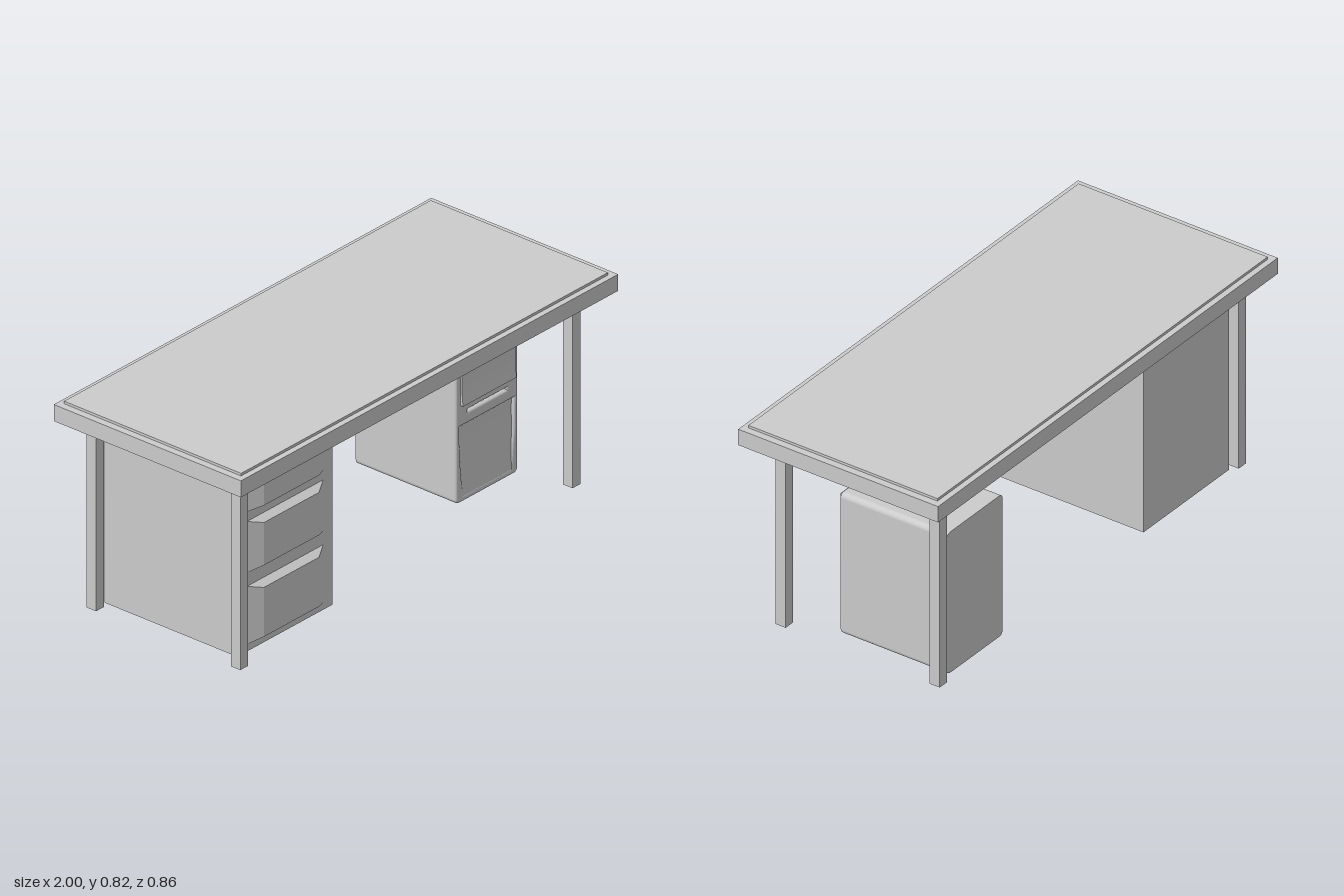
import * as THREE from 'three';

const material = new THREE.MeshStandardMaterial({ color: 0xcccccc });
const doubleSided = new THREE.MeshStandardMaterial({ color: 0xcccccc, side: THREE.DoubleSide });

function add(parent, name, geometry, mat = material) {
  const mesh = new THREE.Mesh(geometry, mat);
  mesh.name = name;
  parent.add(mesh);
  return mesh;
}

// Box given by its limits on each axis
function box(x0, x1, y0, y1, z0, z1) {
  return new THREE.BoxGeometry(x1 - x0, y1 - y0, z1 - z0)
    .translate((x0 + x1) / 2, (y0 + y1) / 2, (z0 + z1) / 2);
}

// Raised drawer front: a box whose front face is drawn in on all sides
function drawerFront(x0, x1, y0, y1, z0, z1, insetX, insetY) {
  const g = box(x0, x1, y0, y1, z0, z1);
  const p = g.attributes.position;
  const cx = (x0 + x1) / 2, cy = (y0 + y1) / 2, cz = (z0 + z1) / 2;
  for (let i = 0; i < p.count; i++) {
    if (p.getZ(i) < cz) continue;
    p.setX(i, p.getX(i) - Math.sign(p.getX(i) - cx) * insetX);
    p.setY(i, p.getY(i) - Math.sign(p.getY(i) - cy) * insetY);
  }
  g.computeVertexNormals();
  return g;
}

function roundedRect(x0, x1, y0, y1, r) {
  const s = new THREE.Shape();
  s.absarc(x1 - r, y0 + r, r, -Math.PI / 2, 0);
  s.absarc(x1 - r, y1 - r, r, 0, Math.PI / 2);
  s.absarc(x0 + r, y1 - r, r, Math.PI / 2, Math.PI);
  s.absarc(x0 + r, y0 + r, r, Math.PI, Math.PI * 1.5);
  s.closePath();
  return s;
}

function polygon(points, Type = THREE.Shape) {
  return new Type(points.map(([x, y]) => new THREE.Vector2(x, y)));
}

function createTable() {
  const table = new THREE.Group();
  table.name = 'table';
  add(table, 'tabletop', box(-1, 1, 0.75, 0.815, -0.428, 0.428));
  add(table, 'deskMat', box(-0.972, 0.972, 0.81, 0.825, -0.405, 0.405));
  for (const x of [-0.88, 0.88]) {
    add(table, 'frontLeg', box(x - 0.021, x + 0.021, 0, 0.755, 0.297, 0.34));
    add(table, 'backLeg', box(x - 0.021, x + 0.021, 0, 0.755, -0.363, -0.32));
  }
  return table;
}

function createCabinet() {
  const cabinet = new THREE.Group();
  cabinet.name = 'drawerCabinet';
  add(cabinet, 'cabinetBody', box(-0.834, -0.33, 0, 0.7, -0.34, 0.268));
  for (const [y0, y1, inset] of [[0.027, 0.257, 0.018], [0.308, 0.512, 0.018], [0.548, 0.684, 0.013]]) {
    add(cabinet, 'drawerFront', drawerFront(-0.786, -0.374, y0, y1, 0.266, 0.297, 0.06, inset));
  }
  return cabinet;
}

function createTower() {
  const tower = new THREE.Group();
  tower.name = 'computerTower';
  const x0 = 0.496, x1 = 0.825, y0 = 0.003, y1 = 0.579, cx = (x0 + x1) / 2;

  // Case with rounded long edges
  add(tower, 'case', new THREE.ExtrudeGeometry(roundedRect(x0, x1, y0, y1, 0.02),
    { depth: 0.44, bevelEnabled: false, curveSegments: 6 }).translate(0, 0, -0.338));

  // Front cover with a slot and a tapered lower opening
  const cover = roundedRect(x0, x1, y0, y1, 0.02);
  cover.holes.push(
    polygon([[0.56, 0.349], [0.56, 0.355], [0.765, 0.355], [0.765, 0.349]], THREE.Path),
    polygon([[0.535, 0.03], [0.52, 0.18], [0.517, 0.302], [0.804, 0.302], [0.801, 0.18], [0.786, 0.03]], THREE.Path)
  );
  add(tower, 'frontCover', new THREE.ExtrudeGeometry(cover, {
    depth: 0.03, bevelThickness: 0.012, bevelSize: 0.01, bevelOffset: -0.01, bevelSegments: 4, curveSegments: 6,
  }).translate(0, 0, 0.08));

  // Lower panel slopes back towards its top edge
  const panel = new THREE.PlaneGeometry(0.31, 0.29, 1, 8).translate(cx, 0.164, 0);
  const p = panel.attributes.position;
  for (let i = 0; i < p.count; i++) {
    const t = (p.getY(i) - 0.019) / 0.29;
    p.setZ(i, 0.121 - 0.013 * Math.sin(t * Math.PI / 2));
  }
  panel.computeVertexNormals();
  add(tower, 'lowerPanel', panel, doubleSided);

  // Drive door, bowed in at the middle, extruded across the width
  const side = new THREE.Shape();
  side.moveTo(0.115, 0.387);
  side.lineTo(0.134, 0.387);
  side.quadraticCurveTo(0.122, 0.474, 0.134, 0.561);
  side.lineTo(0.115, 0.561);
  side.closePath();
  add(tower, 'driveDoor', new THREE.ExtrudeGeometry(side, { depth: 0.284, bevelEnabled: false, curveSegments: 10 })
    .rotateY(-Math.PI / 2).translate(cx + 0.142, 0, 0));
  return tower;
}

export function createModel() {
  const model = new THREE.Group();
  model.name = 'desk';
  model.add(createTable(), createCabinet(), createTower());
  return model;
}
